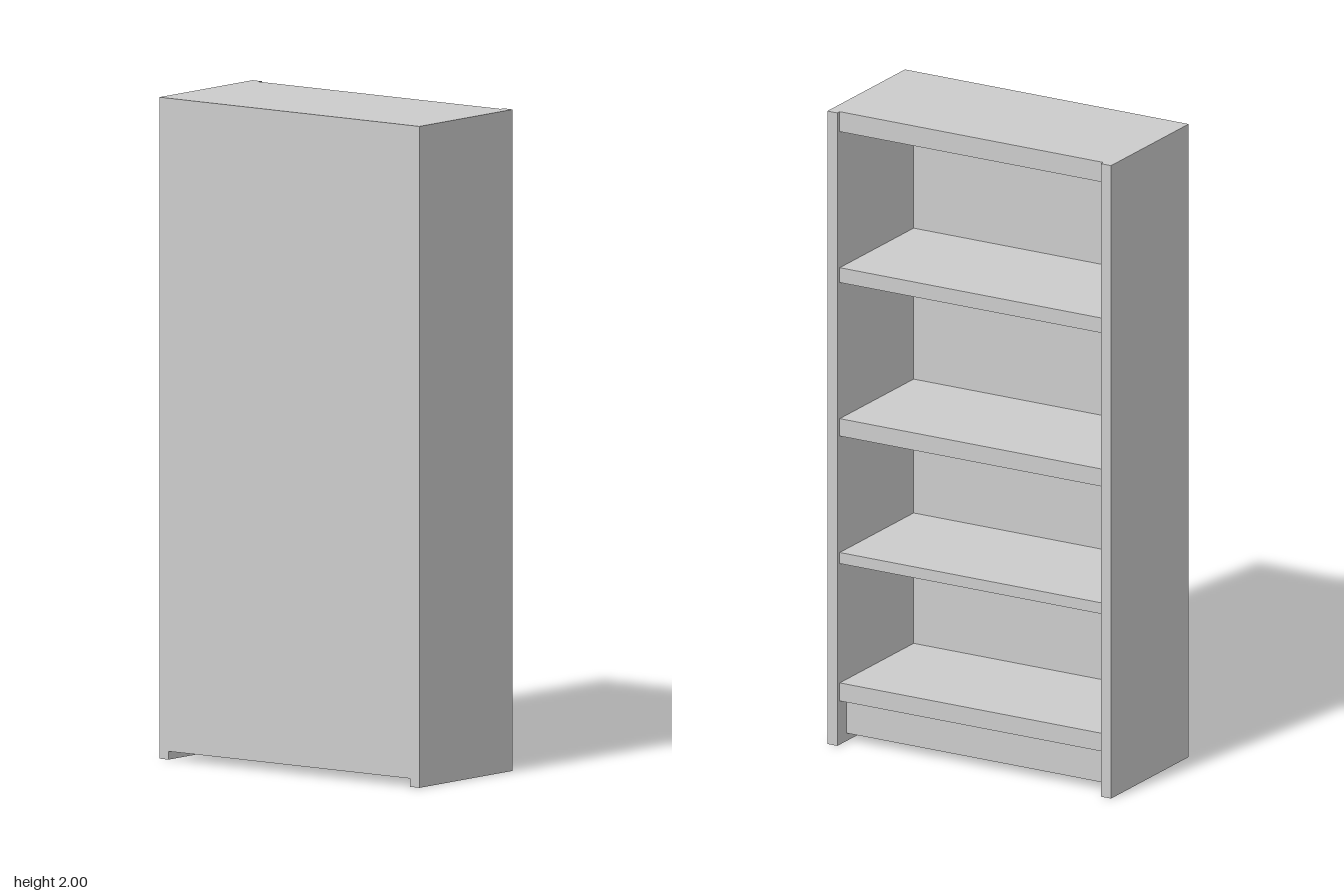
import * as THREE from 'three';

const WIDTH = 0.99, HEIGHT = 2, BACK = -0.226, FRONT = 0.226;
const SIDE = 0.035;               // side board thickness
const INNER = WIDTH - 2 * SIDE;   // clear width between the sides
const LIP = -0.212;               // open edge of the shelves, set in from the sides
const PANEL = 0.218;              // inner face of the closing panel

export function createModel() {
  const group = new THREE.Group();
  group.name = 'bookcase';
  const material = new THREE.MeshStandardMaterial({ color: 0xcccccc });

  // Board centred on x, given by its width and its y and z limits
  const board = (name, width, y0, y1, z0, z1, x = 0) => {
    const mesh = new THREE.Mesh(new THREE.BoxGeometry(width, y1 - y0, z1 - z0), material);
    mesh.position.set(x, (y0 + y1) / 2, (z0 + z1) / 2);
    mesh.name = name;
    group.add(mesh);
  };

  // Sides reach the floor
  for (const s of [-1, 1]) {
    board(s > 0 ? 'leftSide' : 'rightSide', SIDE, 0, HEIGHT, BACK, FRONT, s * (WIDTH - SIDE) / 2);
  }

  // Thin panel closing one face
  board('closingPanel', INNER, 0.025, HEIGHT, PANEL, FRONT);

  // Top and shelves: bottom and top heights
  board('top', INNER, 1.937, HEIGHT, LIP, PANEL);
  const shelves = [[0.138, 0.195], [0.572, 0.607], [0.975, 1.03], [1.46, 1.507]];
  for (const [y0, y1] of shelves) board('shelf', INNER, y0, y1, LIP, PANEL);

  // Recessed plinth under the lowest shelf
  board('plinth', INNER, 0.025, 0.138, -0.173, PANEL);

  return group;
}
